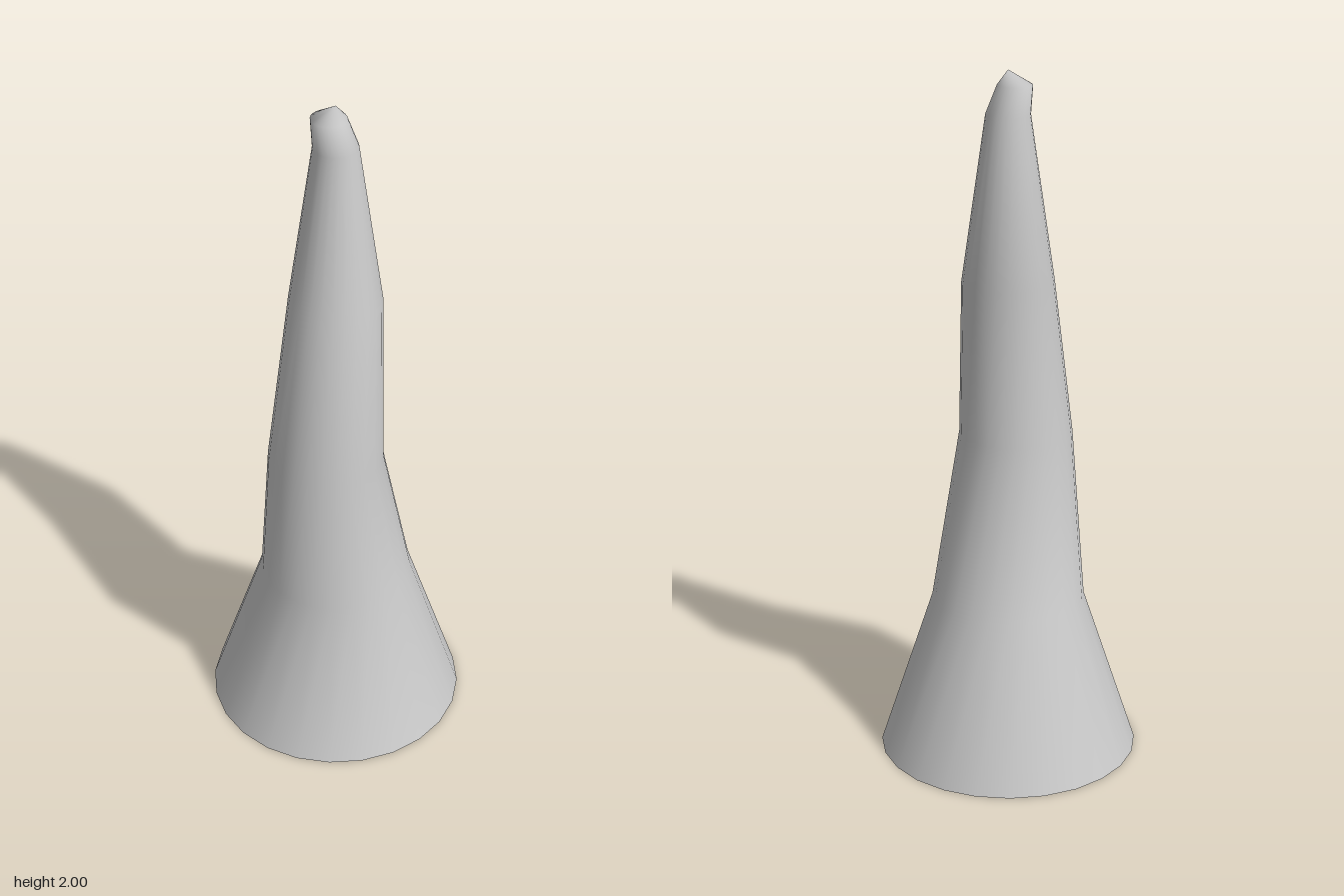
import * as THREE from 'three';

const SIDES = 24;

// Cross-sections from base to tip: [height, radius, x offset, z offset]
const RINGS = [
  [0, 0.375, 0, 0],
  [0.47, 0.22, 0, 0],
  [0.94, 0.163, 0, 0.092],
  [1.41, 0.13, 0, 0],
  [1.88, 0.062, 0, 0],
  [1.96, 0.049, -0.019, 0],
];
const APEX = [0, 2, 0];

// Skin round cross-sections into one smooth surface, closed at the apex
function loftGeometry() {
  const positions = [];
  const index = [];
  for (const [y, r, cx, cz] of RINGS) {
    for (let i = 0; i < SIDES; i++) {
      const a = (i / SIDES) * Math.PI * 2;
      positions.push(cx + r * Math.sin(a), y, cz + r * Math.cos(a));
    }
  }
  positions.push(...APEX);
  const apex = RINGS.length * SIDES;

  for (let k = 0; k < RINGS.length; k++) {
    for (let i = 0; i < SIDES; i++) {
      const a = k * SIDES + i;
      const b = k * SIDES + ((i + 1) % SIDES);
      if (k === RINGS.length - 1) index.push(a, b, apex);
      else index.push(a, b, b + SIDES, a, b + SIDES, a + SIDES);
    }
  }

  const geometry = new THREE.BufferGeometry();
  geometry.setAttribute('position', new THREE.Float32BufferAttribute(positions, 3));
  geometry.setIndex(index);
  geometry.computeVertexNormals();
  return geometry;
}

export function createModel() {
  const group = new THREE.Group();
  group.name = 'crookedSpike';

  // Hollow tapered spike, open at the base
  const material = new THREE.MeshStandardMaterial({ color: 0xcccccc, side: THREE.DoubleSide });
  const spike = new THREE.Mesh(loftGeometry(), material);
  spike.name = 'spike';
  group.add(spike);

  return group;
}
